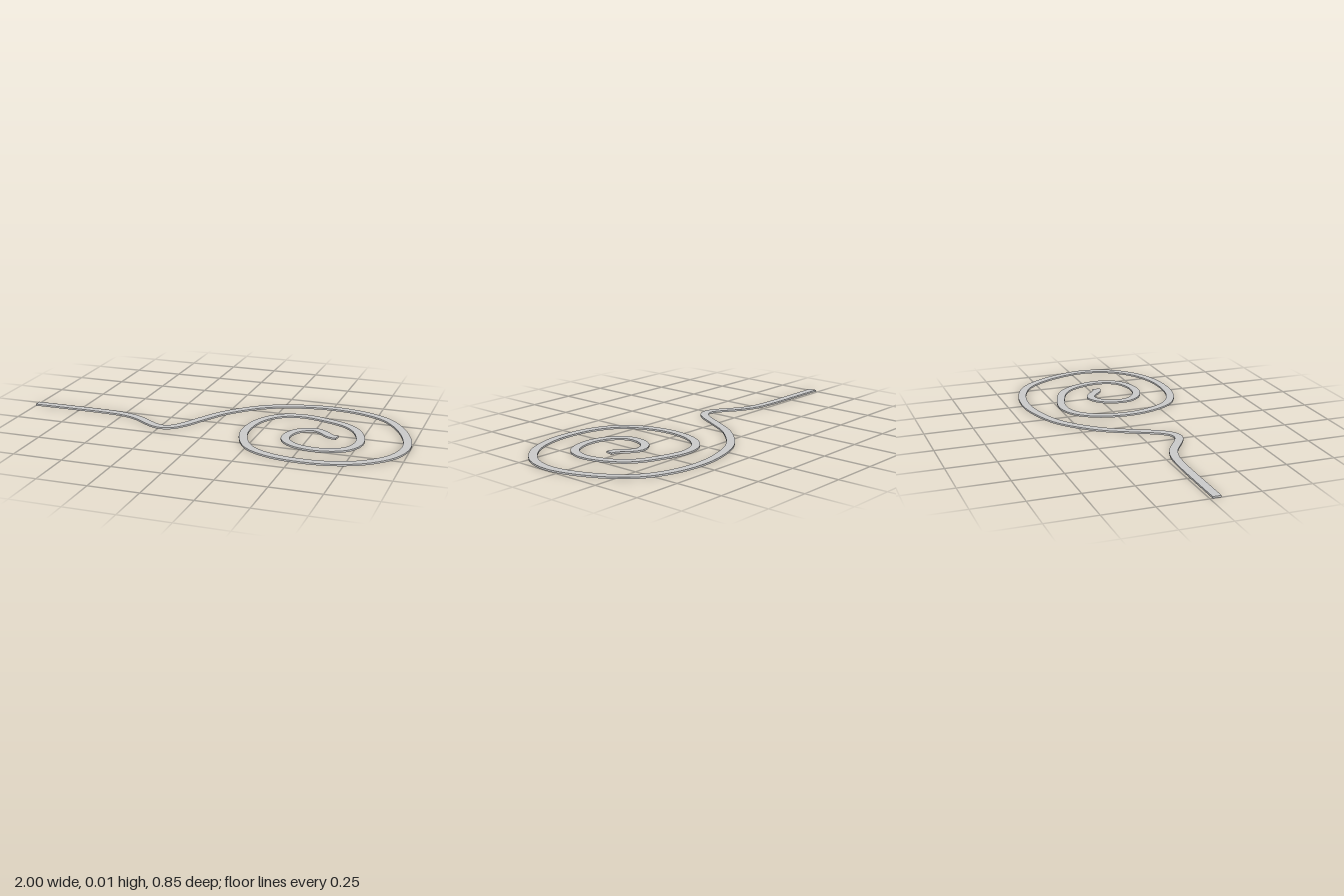
import * as THREE from 'three';

const WIDTH = 0.042, HEIGHT = 0.009, STEPS = 360;

// Centre line of the strip on the ground as [x, z]: straight tail, dip, inward spiral
const PATH = [
  [-1, 0.034], [-0.8, 0.034], [-0.61, 0.036], [-0.49, 0.047], [-0.405, 0.076], [-0.315, 0.135],
  [-0.275, 0.158], [-0.235, 0.168], [-0.19, 0.153], [-0.145, 0.1], [-0.085, -0.015],
  [-0.003, -0.155], [0.165, -0.314], [0.353, -0.387], [0.508, -0.404], [0.674, -0.377],
  [0.812, -0.303], [0.925, -0.14], [0.979, 0.06], [0.944, 0.208], [0.838, 0.324],
  [0.7, 0.387], [0.556, 0.404], [0.396, 0.382], [0.273, 0.313], [0.198, 0.18],
  [0.177, 0.04], [0.209, -0.107], [0.283, -0.198], [0.385, -0.23], [0.513, -0.206],
  [0.647, -0.146], [0.717, -0.06], [0.753, 0.085], [0.711, 0.186], [0.594, 0.234],
  [0.47, 0.213], [0.4, 0.142], [0.4, 0.05], [0.44, -0.013], [0.503, -0.038],
  [0.556, -0.011], [0.587, 0.02], [0.612, 0.033], [0.633, 0.036],
];

// Sweep a rectangle along the curve; each face has its own vertices so the edges stay sharp
function ribbonGeometry(curve) {
  const up = new THREE.Vector3(0, 1, 0);
  const corners = [[-1, HEIGHT], [1, HEIGHT], [1, 0], [-1, 0]];
  const rings = [];
  for (let i = 0; i <= STEPS; i++) {
    const p = curve.getPointAt(i / STEPS);
    const side = curve.getTangentAt(i / STEPS).cross(up).normalize();
    rings.push(corners.map(([s, y]) => p.clone().addScaledVector(side, s * WIDTH / 2).setY(y)));
  }

  const points = [], index = [];
  for (let k = 0; k < 4; k++) {
    const base = points.length;
    rings.forEach((ring, i) => {
      points.push(ring[k], ring[(k + 1) % 4]);
      if (i === STEPS) return;
      const a = base + i * 2;
      index.push(a, a + 1, a + 3, a, a + 3, a + 2);
    });
  }
  // End caps
  for (const ring of [[...rings[0]].reverse(), rings[STEPS]]) {
    const a = points.length;
    points.push(...ring);
    index.push(a, a + 1, a + 2, a, a + 2, a + 3);
  }

  const geometry = new THREE.BufferGeometry().setFromPoints(points);
  geometry.setIndex(index);
  geometry.computeVertexNormals();
  return geometry;
}

export function createModel() {
  const group = new THREE.Group();
  group.name = 'spiralPath';
  const curve = new THREE.CatmullRomCurve3(PATH.map(([x, z]) => new THREE.Vector3(x, 0, z)));
  curve.arcLengthDivisions = 1000;
  const strip = new THREE.Mesh(
    ribbonGeometry(curve),
    new THREE.MeshStandardMaterial({ color: 0xcccccc })
  );
  strip.name = 'spiralStrip';
  group.add(strip);
  return group;
}
